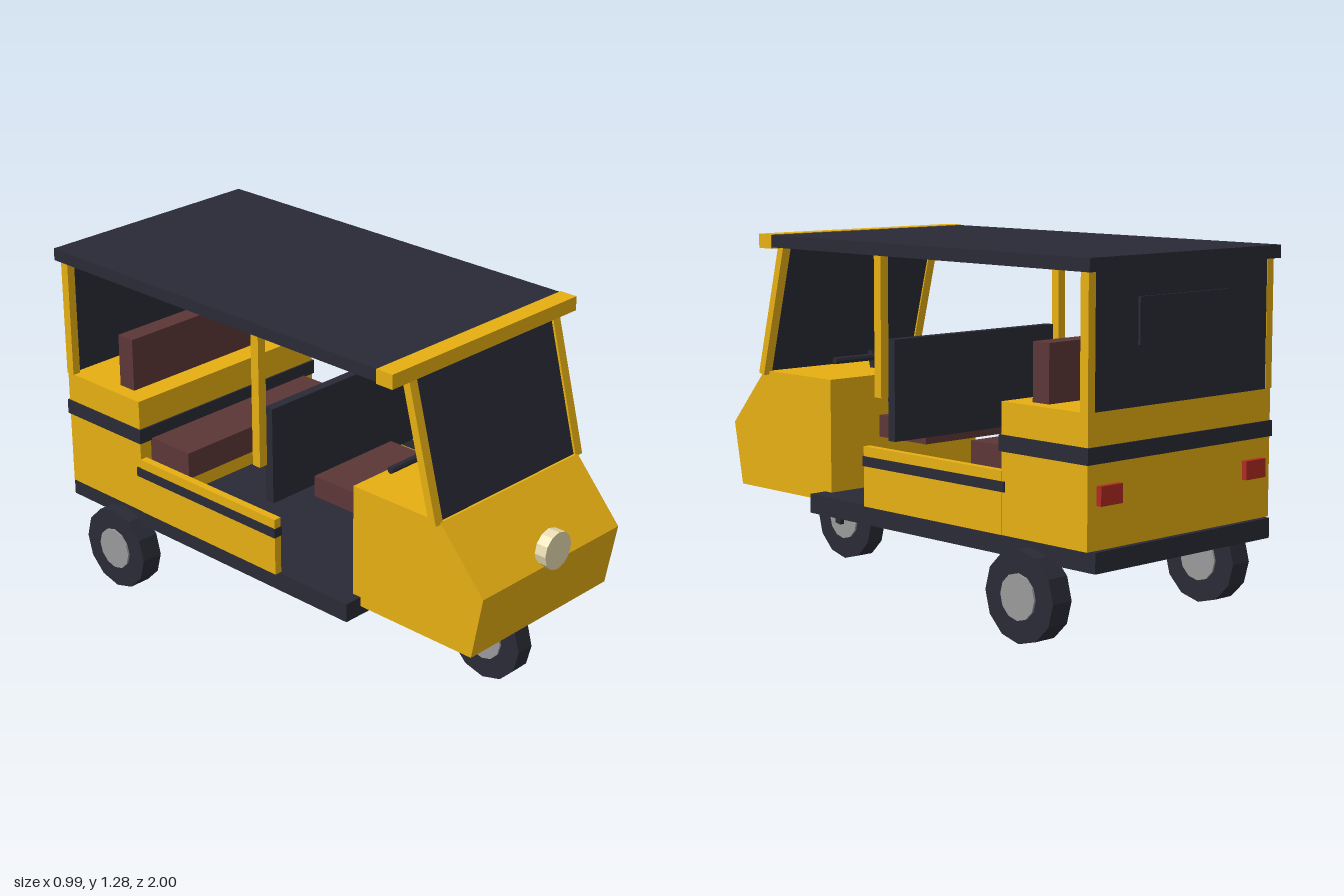
import * as THREE from 'three';

const mat = (name, color) => {
  const m = new THREE.MeshStandardMaterial({ color });
  m.name = name;
  return m;
};

export function createModel() {
  const yellow = mat('yellow paint', 0xe6af12);
  const dark = mat('dark trim', 0x2a2a36);
  const brown = mat('brown seat', 0x5c3636);
  const grey = mat('grey hub', 0x9a9a9c);
  const cream = mat('cream lamp', 0xe8dcb0);
  const red = mat('red lamp', 0xb02a22);

  const model = new THREE.Group();
  model.name = 'threeWheeler';

  const add = (name, geometry, material, x = 0, y = 0, z = 0) => {
    const mesh = new THREE.Mesh(geometry, material);
    mesh.name = name;
    mesh.position.set(x, y, z);
    model.add(mesh);
    return mesh;
  };
  // Box given by its extents on each axis
  const box = (name, material, [x0, x1], [y0, y1], [z0, z1]) =>
    add(name, new THREE.BoxGeometry(x1 - x0, y1 - y0, z1 - z0), material,
      (x0 + x1) / 2, (y0 + y1) / 2, (z0 + z1) / 2);
  // Box leaning in the side plane, running between two [y, z] points
  const bar = (name, material, x, w, d, [y0, z0], [y1, z1]) => {
    const len = Math.hypot(y1 - y0, z1 - z0);
    const mesh = add(name, new THREE.BoxGeometry(w, len, d), material, x, (y0 + y1) / 2, (z0 + z1) / 2);
    mesh.rotation.x = Math.atan2(z1 - z0, y1 - y0);
    return mesh;
  };
  // Faceted cylinder lying along x
  const drum = (r, w, sides = 12) => {
    const g = new THREE.CylinderGeometry(r, r, w, sides).rotateZ(Math.PI / 2).toNonIndexed();
    g.computeVertexNormals();
    return g;
  };

  // Floor and roof
  box('floor', dark, [-0.43, 0.43], [0.27, 0.34], [-1, 0.435]);
  box('roof', dark, [-0.465, 0.465], [1.23, 1.275], [-1, 0.6]);
  box('roofFrontEdge', yellow, [-0.468, 0.468], [1.225, 1.277], [0.6, 0.67]);

  // Front cab, extruded across x from its side profile
  const profile = [[0.935, 0.305], [0.98, 0.54], [0.79, 0.755], [0.4, 0.755], [0.4, 0.305]];
  const shape = new THREE.Shape(profile.map(([z, y]) => new THREE.Vector2(-z, y)));
  const cab = new THREE.ExtrudeGeometry(shape, { depth: 0.72, bevelEnabled: false });
  add('cab', cab.translate(0, 0, -0.36).rotateY(Math.PI / 2), yellow);

  // Windscreen and headlight
  bar('windscreen', dark, 0, 0.7, 0.015, [0.75, 0.775], [1.227, 0.65]);
  add('headlight', drum(0.069, 0.045).rotateY(Math.PI / 2), cream, 0, 0.59, 0.9775);

  // Rear body with its band
  box('rearBody', yellow, [-0.447, 0.447], [0.34, 0.785], [-0.98, -0.587]);
  box('rearBand', dark, [-0.453, 0.453], [0.62, 0.675], [-0.986, -0.58]);
  box('rearScreen', dark, [-0.42, 0.42], [0.785, 1.23], [-0.98, -0.965]);
  box('rearWindow', dark, [-0.22, 0.22], [0.985, 1.14], [-0.99, -0.981]);

  // Seats and the partition behind the driver
  box('driverSeat', brown, [-0.2, 0.2], [0.54, 0.62], [0.06, 0.315]);
  box('partition', dark, [-0.39, 0.39], [0.575, 0.935], [0.01, 0.045]);
  box('passengerSeat', brown, [-0.395, 0.395], [0.525, 0.627], [-0.59, -0.385]);
  box('backrest', brown, [-0.39, 0.39], [0.785, 0.985], [-0.75, -0.675]);

  // Steering
  bar('steeringColumn', dark, 0, 0.025, 0.025, [0.72, 0.565], [0.82, 0.592]);
  add('handlebar', drum(0.013, 0.54, 8), dark, 0, 0.81, 0.485);

  // Wheels
  const wheel = (name, x, z, w, hubW) => {
    add(name + 'Tyre', drum(0.158, w), dark, x, 0.158, z);
    add(name + 'Hub', drum(0.079, hubW), grey, x, 0.158, z);
  };
  wheel('frontWheel', 0, 0.72, 0.07, 0.085);

  // Parts on both sides
  for (const s of [-1, 1]) {
    const span = (a, b) => (s > 0 ? [a, b] : [-b, -a]);
    wheel('rearWheel', s * 0.443, -0.71, 0.085, 0.1);
    bar('fork', dark, s * 0.057, 0.018, 0.03, [0.14, 0.725], [0.34, 0.685]);
    bar('windscreenPillar', yellow, s * 0.366, 0.036, 0.03, [0.745, 0.777], [1.232, 0.65]);
    box('middlePillar', yellow, span(0.418, 0.452), [0.735, 1.23], [0.01, 0.045]);
    box('rearPillar', yellow, span(0.418, 0.45), [0.785, 1.23], [-0.982, -0.947]);
    box('sidePanel', yellow, span(0.42, 0.449), [0.34, 0.555], [-0.59, 0.11]);
    box('sideBand', dark, span(0.417, 0.453), [0.485, 0.52], [-0.605, 0.112]);
    box('tailLight', red, span(0.305, 0.405), [0.485, 0.55], [-1, -0.975]);
  }
  return model;
}
